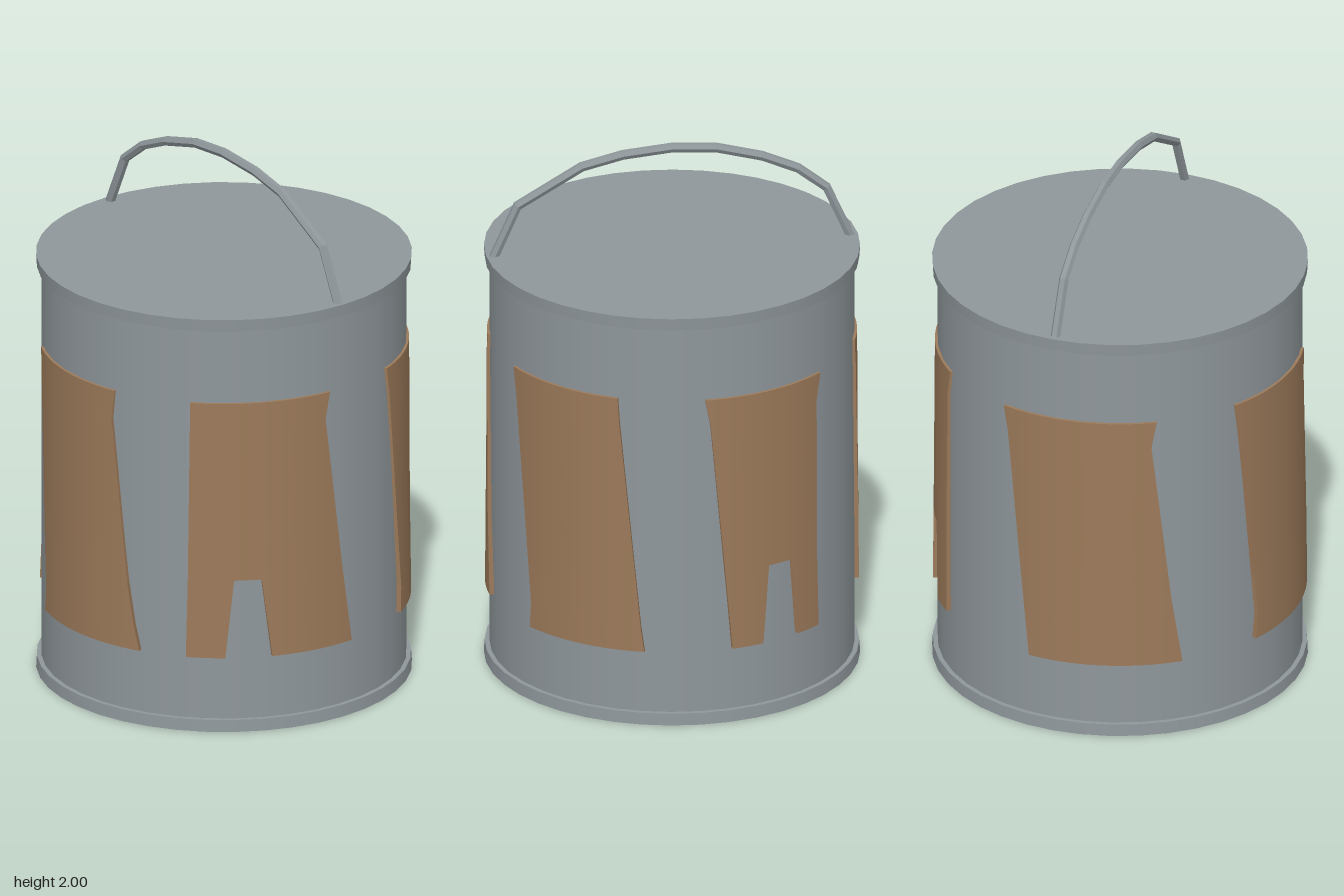
import * as THREE from 'three';

const SIDES = 40;
const metal = new THREE.MeshStandardMaterial({ name: 'greyMetal', color: 0x8f979b });
const metalFlat = new THREE.MeshStandardMaterial({ name: 'greyMetalFaceted', color: 0x8f979b, flatShading: true });
const rust = new THREE.MeshStandardMaterial({ name: 'brownPatch', color: 0x9c7a5a, side: THREE.DoubleSide });

const TOP = 1.27, BOTTOM = 0.285, NOTCH = 0.585;

// Each panel: strips of rows [height, start angle, end angle], angles from +z towards +x
const panels = [
  [[[TOP, -0.53, 0.25], [1.16, -0.505, 0.233], [0.54, -0.4, 0.34], [0.38, -0.374, 0.38], [BOTTOM, -0.39, 0.415]]],
  [
    [[TOP, 0.70, 1.496], [1.17, 0.70, 1.466], [NOTCH, 0.69, 1.573]],
    [[NOTCH, 0.69, 0.94], [BOTTOM, 0.68, 0.893]],
    [[NOTCH, 1.09, 1.573], [BOTTOM, 1.148, 1.638]],
  ],
  [[[TOP, 1.96, 2.69], [1.17, 1.99, 2.70], [0.38, 2.135, 2.82], [BOTTOM, 2.125, 2.84]]],
  [
    [[TOP, 3.17, 3.92], [1.17, 3.20, 3.885], [NOTCH, 3.28, 3.88]],
    [[NOTCH, 3.28, 3.537], [BOTTOM, 3.32, 3.50]],
    [[NOTCH, 3.69, 3.88], [BOTTOM, 3.73, 3.89]],
  ],
  [[[TOP, 4.40, 5.28], [1.17, 4.43, 5.25], [0.54, 4.53, 5.36], [BOTTOM, 4.57, 5.42]]],
];

// Thin curved sheet with a turned-in border
function sheetGeometry(rows) {
  const cols = 14, pos = [], nor = [], index = [];
  const add = (y, a, r) => {
    pos.push(Math.sin(a) * r, y, Math.cos(a) * r);
    return pos.length / 3 - 1;
  };
  const radius = (y) => 0.669 + 0.007 * (TOP - y) / (TOP - BOTTOM);
  const angle = (row, i) => row[1] + (row[2] - row[1]) * i / cols;
  const quad = (a, b, c, d) => index.push(a, b, c, a, c, d);
  const radial = (a) => nor.push(Math.sin(a), 0, Math.cos(a));
  // outer face
  rows.forEach((row) => {
    for (let i = 0; i <= cols; i++) {
      add(row[0], angle(row, i), radius(row[0]));
      radial(angle(row, i));
    }
  });
  const w = cols + 1;
  for (let r = 0; r < rows.length - 1; r++) {
    for (let i = 0; i < cols; i++) {
      const k = r * w + i;
      quad(k, k + w, k + w + 1, k + 1);
    }
  }
  // border walls
  const wall = (y0, a0, y1, a1, n) => {
    const p = [add(y0, a0, radius(y0)), add(y0, a0, 0.655), add(y1, a1, 0.655), add(y1, a1, radius(y1))];
    p.forEach(() => nor.push(...n));
    quad(...p);
  };
  const last = rows[rows.length - 1];
  for (let i = 0; i < cols; i++) {
    wall(TOP === rows[0][0] ? TOP : NOTCH, angle(rows[0], i), rows[0][0], angle(rows[0], i + 1), [0, 1, 0]);
    wall(last[0], angle(last, i + 1), last[0], angle(last, i), [0, -1, 0]);
  }
  for (let r = 0; r < rows.length - 1; r++) {
    const [p, q] = [rows[r], rows[r + 1]];
    wall(q[0], q[1], p[0], p[1], [-Math.cos(p[1]), 0, Math.sin(p[1])]);
    wall(p[0], p[2], q[0], q[2], [Math.cos(p[2]), 0, -Math.sin(p[2])]);
  }
  const g = new THREE.BufferGeometry();
  g.setAttribute('position', new THREE.Float32BufferAttribute(pos, 3));
  g.setAttribute('normal', new THREE.Float32BufferAttribute(nor, 3));
  g.setIndex(index);
  return g;
}

// Bent wire running straight between its points
class BentWire extends THREE.Curve {
  constructor(points) { super(); this.points = points; }
  getPoint(t, target = new THREE.Vector3()) {
    const n = this.points.length - 1, i = Math.min(Math.floor(t * n + 1e-9), n - 1);
    return target.lerpVectors(this.points[i], this.points[i + 1], t * n - i);
  }
  getPointAt(t, target) { return this.getPoint(t, target); }
  getTangentAt(t, target) { return this.getTangent(t, target); }
}

export function createModel() {
  const model = new THREE.Group();
  model.name = 'bucket';
  const add = (name, geometry, material, y = 0, parent = model) => {
    const mesh = new THREE.Mesh(geometry, material);
    mesh.name = name;
    mesh.position.y = y;
    parent.add(mesh);
    return mesh;
  };

  // Drum with closed ends at the rims
  add('body', new THREE.CylinderGeometry(0.66, 0.66, 1.54, SIDES, 1, true), metal, 0.8);
  add('topRim', new THREE.CylinderGeometry(0.68, 0.677, 0.045, SIDES), metal, 1.5775);
  add('bottomRim', new THREE.CylinderGeometry(0.677, 0.68, 0.045, SIDES), metal, 0.0225);

  // Carrying handle
  const path = [[-0.66, 1.575], [-0.565, 1.79], [-0.46, 1.872], [-0.33, 1.928], [-0.16, 1.972], [0, 1.982],
    [0.18, 1.965], [0.33, 1.928], [0.565, 1.79], [0.66, 1.575]];
  const wire = new BentWire(path.map(([x, y]) => new THREE.Vector3(x, y, 0)));
  add('handle', new THREE.TubeGeometry(wire, path.length - 1, 0.018, 6), metalFlat);

  // Brown panels around the drum
  panels.forEach((strips, i) => {
    const panel = new THREE.Group();
    panel.name = `panel${i + 1}`;
    strips.forEach((rows, j) => add(j ? 'panelLeg' : 'panelSheet', sheetGeometry(rows), rust, 0, panel));
    model.add(panel);
  });
  return model;
}
